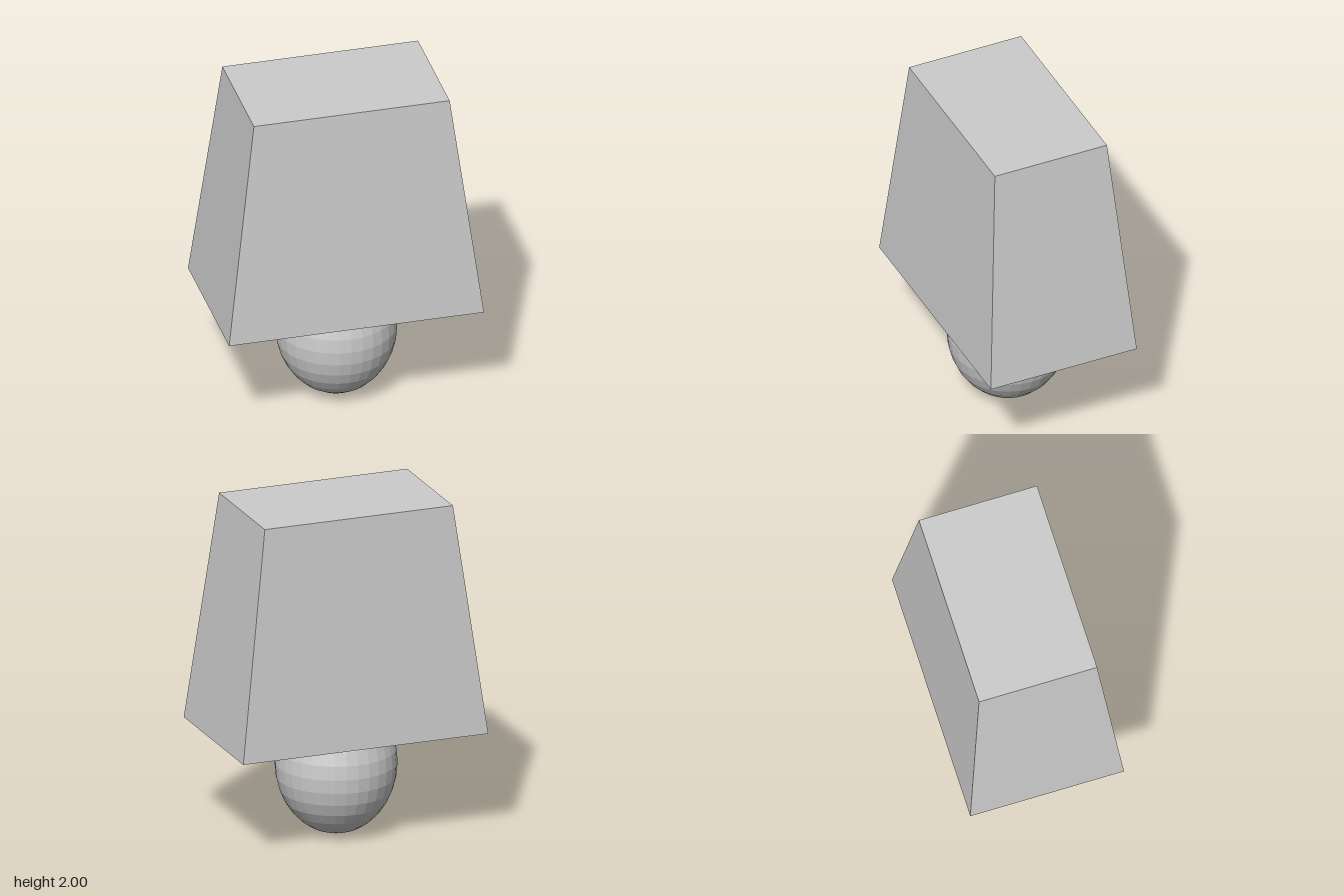
import * as THREE from 'three';

// Box that narrows evenly towards its top
function taperedBox(width, height, depth, topScale) {
  const geometry = new THREE.BoxGeometry(width, height, depth);
  const p = geometry.attributes.position;
  for (let i = 0; i < p.count; i++) {
    if (p.getY(i) > 0) {
      p.setX(i, p.getX(i) * topScale);
      p.setZ(i, p.getZ(i) * topScale);
    }
  }
  geometry.computeVertexNormals();
  return geometry;
}

export function createModel() {
  const group = new THREE.Group();
  const grey = new THREE.MeshStandardMaterial({ color: 0xcccccc, flatShading: true });
  grey.name = 'light grey';

  // Tapered rectangular shade, closed above and below
  const shade = new THREE.Mesh(taperedBox(1.506, 1.364, 0.92, 0.768), grey);
  shade.name = 'shade';
  shade.position.y = 1.318;
  group.add(shade);

  // Faceted oval base, its top tucked into the shade
  const base = new THREE.Mesh(new THREE.SphereGeometry(1, 32, 16).scale(0.352, 0.42, 0.352), grey);
  base.name = 'base';
  base.position.y = 0.42;
  group.add(base);

  return group;
}
